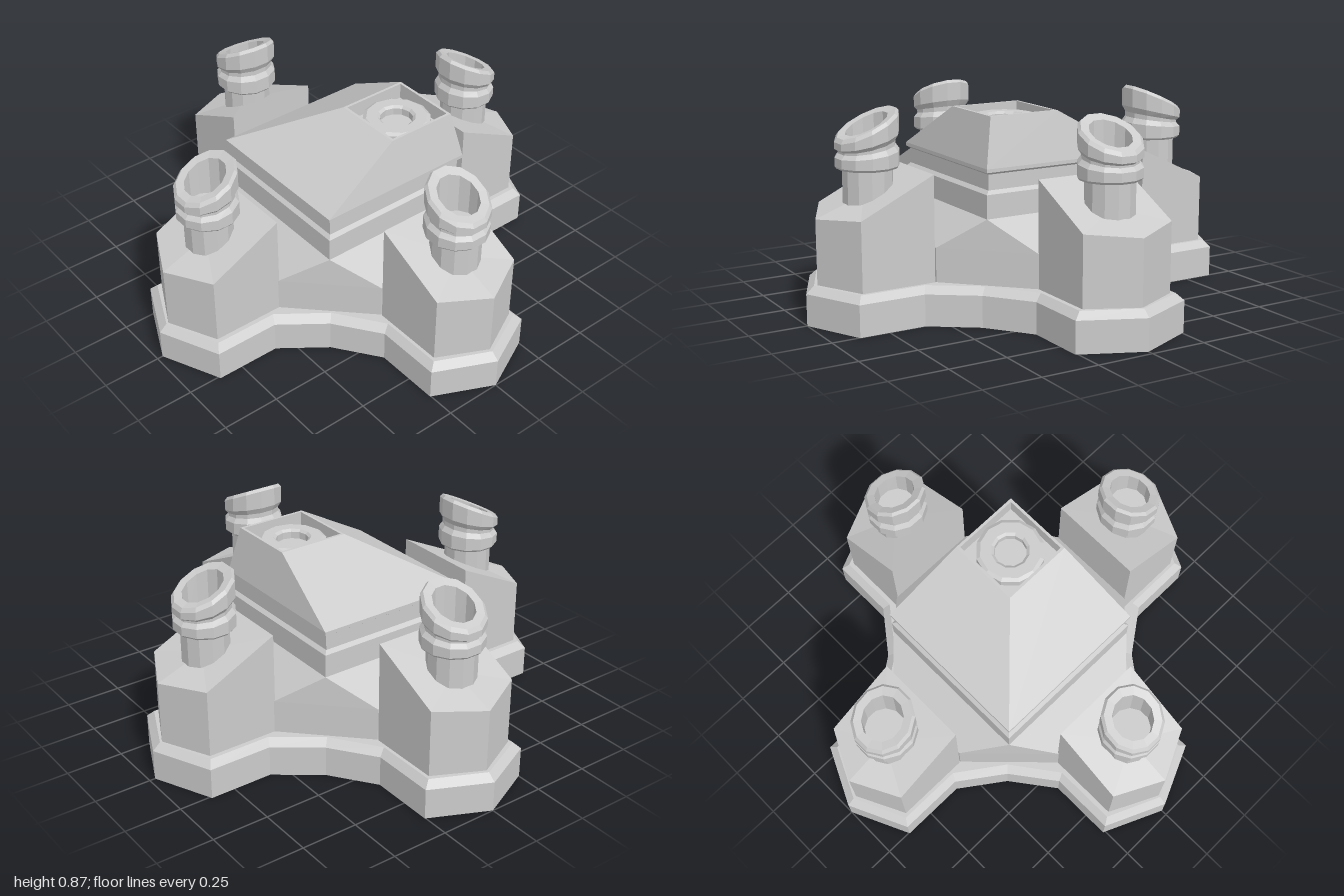
import * as THREE from 'three';

const grey = new THREE.MeshStandardMaterial({ color: 0xcccccc, flatShading: true });

// Skin a stack of rings ([x, y, z] corners, anticlockwise from above) and cap both ends.
function loft(name, rings) {
  const pos = [];
  const tri = (a, b, c) => pos.push(...a, ...b, ...c);
  const n = rings[0].length;
  const middle = (r) => [0, 1, 2].map((k) => r.reduce((s, p) => s + p[k], 0) / n);
  const bottom = rings[0], top = rings[rings.length - 1];
  const cb = middle(bottom), ct = middle(top);
  for (let i = 0; i < n; i++) {
    const j = (i + 1) % n;
    for (let k = 0; k < rings.length - 1; k++) {
      const lo = rings[k], hi = rings[k + 1];
      tri(lo[i], lo[j], hi[j]);
      tri(lo[i], hi[j], hi[i]);
    }
    tri(cb, bottom[j], bottom[i]);
    tri(ct, top[i], top[j]);
  }
  const geo = new THREE.BufferGeometry();
  geo.setAttribute('position', new THREE.Float32BufferAttribute(pos, 3));
  geo.computeVertexNormals();
  const mesh = new THREE.Mesh(geo, grey);
  mesh.name = name;
  return mesh;
}

// Repeat a quarter outline of [x, z] points four times round the centre.
function fourfold(points, y, sx = 1) {
  const ring = [];
  for (let k = 0; k < 4; k++) {
    for (let [x, z] of points) {
      for (let t = 0; t < k; t++) [x, z] = [z, -x];
      ring.push([x * sx, y, z]);
    }
  }
  return ring;
}

const square = (lo, hi, y) => [[lo, y, hi], [hi, y, hi], [hi, y, lo], [lo, y, lo]];

// Cross-shaped plate with a bevelled top edge
function basePlate() {
  const outer = [[0, 1], [0.26, 0.88], [0.26, 0.59], [0.4, 0.4], [0.59, 0.26], [0.88, 0.26]];
  const inner = [[0, 0.965], [0.23, 0.86], [0.23, 0.575], [0.375, 0.375], [0.575, 0.23], [0.86, 0.23]];
  return loft('basePlate', [
    fourfold(outer, 0, 0.975), fourfold(outer, 0.135, 0.975), fourfold(inner, 0.165, 0.975),
  ]);
}

// Pointed block with a sloping top, facing +z
function tower() {
  const plan = [[0, 0.95, 0.44], [0.21, 0.845, 0.46], [0.21, 0.52, 0.615],
    [-0.21, 0.52, 0.615], [-0.21, 0.845, 0.46]];
  return loft('tower', [
    plan.map(([x, z]) => [x, 0.14, z]),
    plan.map(([x, z, h]) => [x, h, z]),
  ]);
}

// Hollow pipe with a collar and a slanted mouth that drops outwards
function pipe() {
  const profile = [ // radius, height on the axis, rise per unit towards the centre
    [0.105, 0.42, 0], [0.105, 0.63, 0], [0.125, 0.63, 0], [0.134, 0.64, 0],
    [0.134, 0.69, 0.1], [0.118, 0.71, 0.14], [0.118, 0.725, 0.2], [0.134, 0.745, 0.25],
    [0.134, 0.8, 0.46], [0.122, 0.815, 0.48], [0.088, 0.81, 0.48], [0.085, 0.67, 0],
  ];
  const mesh = loft('pipe', profile.map(([r, y, slope]) =>
    Array.from({ length: 12 }, (_, i) => {
      const a = ((i + 0.5) / 12) * Math.PI * 2;
      const z = r * Math.cos(a);
      return [r * Math.sin(a), y - slope * z, z];
    })));
  mesh.position.z = 0.715;
  return mesh;
}

export function createModel() {
  const model = new THREE.Group();
  model.add(basePlate());

  // Four towers, each carrying a pipe
  for (let k = 0; k < 4; k++) {
    const arm = new THREE.Group();
    arm.name = 'towerArm';
    arm.add(tower(), pipe());
    arm.rotation.y = (k * Math.PI) / 2;
    if (k % 2) arm.scale.z = 0.98;
    model.add(arm);
  }

  // Sloping skirt between the towers, its corners cut off by upright walls
  const cut = [[0.21, 0.515], [0.515, 0.21]];
  const corner = [[0.36, 0.36], [0.36, 0.36]];
  model.add(loft('skirt', [fourfold(cut, 0.14), fourfold(cut, 0.31), fourfold(corner, 0.44)]));

  // Square core with a recessed band
  const core = [[0.36, 0.43], [0.36, 0.54], [0.345, 0.555], [0.345, 0.62], [0.36, 0.63]];
  model.add(loft('core', core.map(([h, y]) => square(-h, h, y))));

  // Off-centre pyramid roof with a square well in its top
  model.add(loft('roof', [
    square(-0.36, 0.36, 0.63), square(-0.36, 0.36, 0.645), square(0, 0.318, 0.85),
    square(0.012, 0.306, 0.85), square(0.012, 0.306, 0.78),
  ]));

  // Round socket sitting in the well
  const socketProfile = [[0.146, 0.77], [0.146, 0.815], [0.13, 0.825], [0.082, 0.825], [0.07, 0.815],
    [0.07, 0.785], [0, 0.785]].map(([r, y]) => new THREE.Vector2(r, y));
  const socket = new THREE.Mesh(new THREE.LatheGeometry(socketProfile, 12), grey);
  socket.name = 'socket';
  socket.position.set(0.159, 0, 0.159);
  model.add(socket);

  return model;
}
